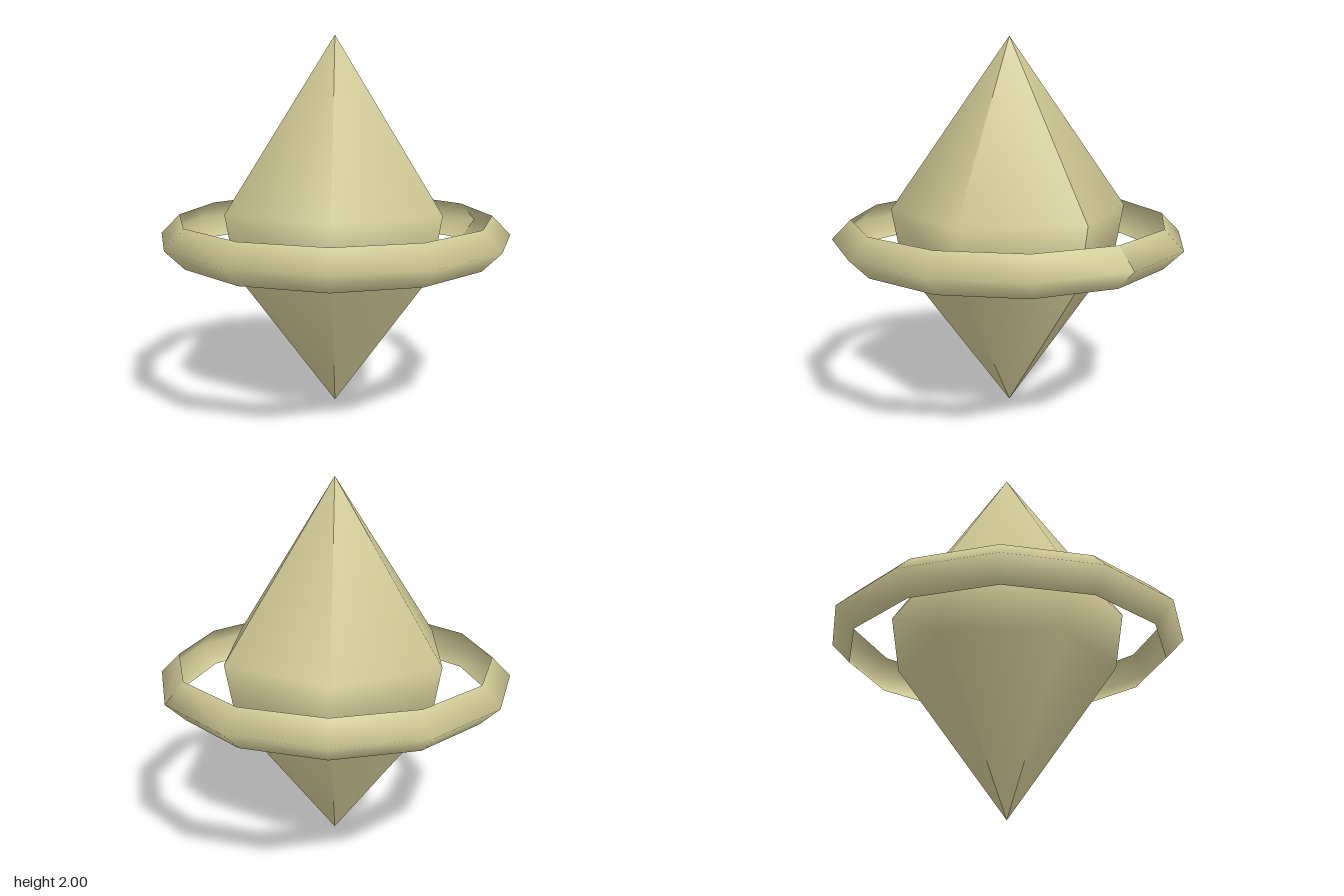
import * as THREE from 'three';

const sand = new THREE.MeshStandardMaterial({ color: 0xcfc894, side: THREE.DoubleSide });
sand.name = 'sand';

// Revolves a [radius, height] profile, listed bottom to top, with a corner on +x
function revolve(name, profile, sides) {
  const points = profile.map(([r, y]) => new THREE.Vector2(r, y));
  const geometry = new THREE.LatheGeometry(points, sides, Math.PI / 2);
  geometry.computeVertexNormals();
  const mesh = new THREE.Mesh(geometry, sand);
  mesh.name = name;
  return mesh;
}

export function createModel() {
  const model = new THREE.Group();
  model.name = 'ringedCrystal';

  // Six-sided crystal, pointed at both ends with a tapering waist
  model.add(revolve('crystal', [[0, 0], [0.577, 0.795], [0.63, 1.105], [0, 2]], 6));

  // Floating twelve-sided ring: a V-shaped band, open on its inner side
  model.add(revolve('ring', [[0.843, 0.847], [0.945, 0.95], [0.843, 1.053]], 12));

  return model;
}
